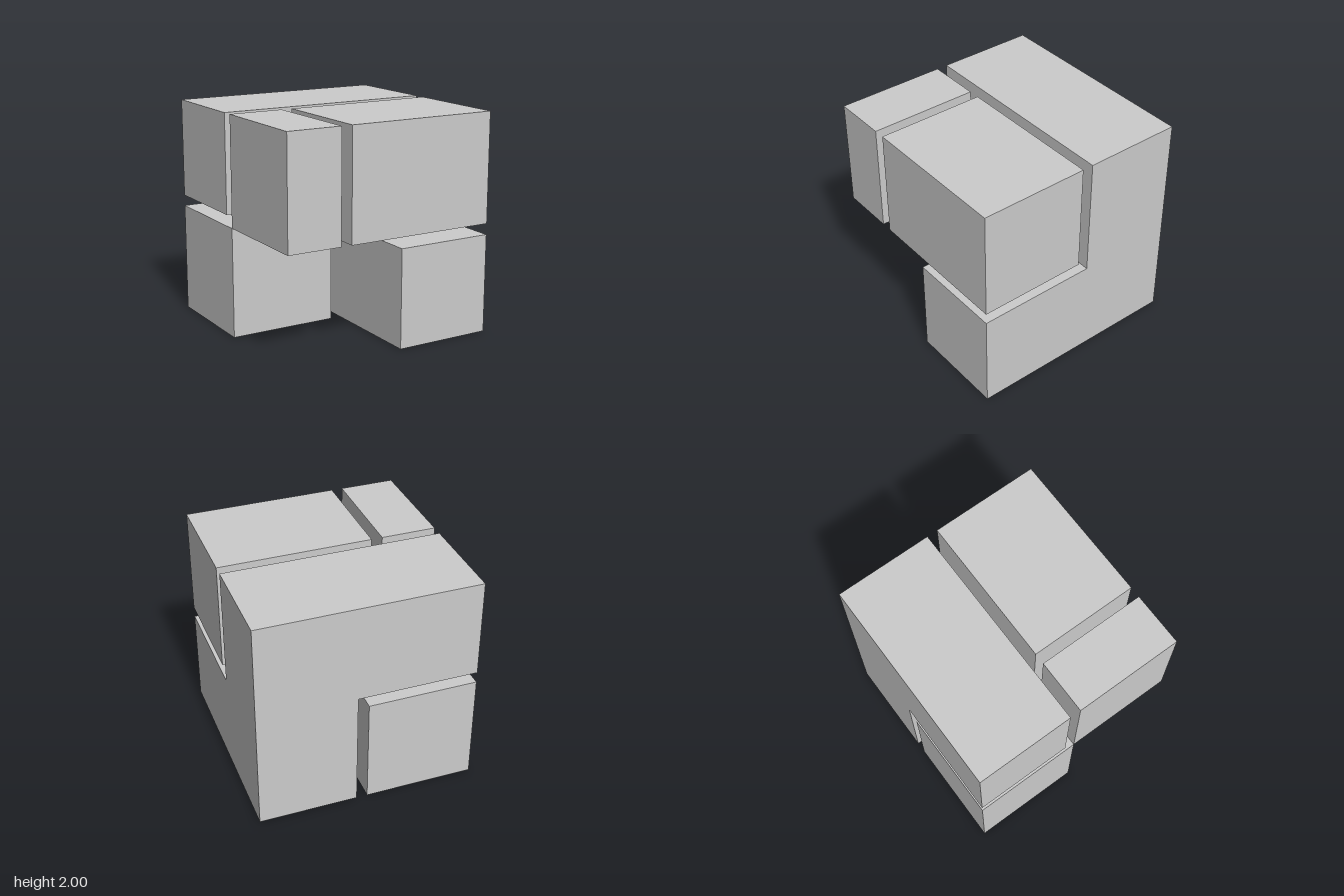
import * as THREE from 'three';
import { mergeVertices } from 'three/addons/utils/BufferGeometryUtils.js';

const material = new THREE.MeshStandardMaterial({ color: 0xcccccc });

// Box spanning two opposite corners
function block(name, min, max) {
  const [w, h, d] = max.map((v, i) => v - min[i]);
  const mesh = new THREE.Mesh(new THREE.BoxGeometry(w, h, d), material);
  mesh.position.set(min[0] + w / 2, min[1] + h / 2, min[2] + d / 2);
  mesh.name = name;
  return mesh;
}

// One closed solid from the filled cells of a grid; only outer faces are made
function cellSolid(grid, filled) {
  const positions = [], normals = [], indices = [];
  const isFilled = (c) => c.every((v, a) => v >= 0 && v < grid[a].length - 1) && filled(...c);

  const addFace = (cell, axis, side) => {
    const u = (axis + 1) % 3, v = (axis + 2) % 3;
    const start = positions.length / 3;
    for (const [du, dv] of [[0, 0], [1, 0], [1, 1], [0, 1]]) {
      const corner = [0, 0, 0], normal = [0, 0, 0];
      corner[axis] = grid[axis][cell[axis] + side];
      corner[u] = grid[u][cell[u] + du];
      corner[v] = grid[v][cell[v] + dv];
      normal[axis] = side ? 1 : -1;
      positions.push(...corner);
      normals.push(...normal);
    }
    const order = side ? [0, 1, 2, 0, 2, 3] : [0, 2, 1, 0, 3, 2];
    indices.push(...order.map((i) => start + i));
  };

  for (let i = 0; i < grid[0].length - 1; i++)
    for (let j = 0; j < grid[1].length - 1; j++)
      for (let k = 0; k < grid[2].length - 1; k++) {
        const cell = [i, j, k];
        if (!isFilled(cell)) continue;
        for (let axis = 0; axis < 3; axis++)
          for (const side of [0, 1]) {
            const next = [...cell];
            next[axis] += side ? 1 : -1;
            if (!isFilled(next)) addFace(cell, axis, side);
          }
      }

  const geometry = new THREE.BufferGeometry();
  geometry.setAttribute('position', new THREE.Float32BufferAttribute(positions, 3));
  geometry.setAttribute('normal', new THREE.Float32BufferAttribute(normals, 3));
  geometry.setIndex(indices);
  return mergeVertices(geometry);
}

export function createModel() {
  const group = new THREE.Group();
  group.name = 'interlockingCube';

  // Three-armed bracket: upright post, foot towards the front, bar along the back
  const grid = [[-1, 0.1, 1], [0, 0.9, 1.1, 2], [-1, -0.1, 1]];
  const inBracket = (i, j, k) => {
    const postOrFoot = i === 1 && (k === 0 || j === 0);
    const backBar = j === 2 && k === 0;
    return postOrFoot || backBar;
  };
  const bracket = new THREE.Mesh(cellSolid(grid, inBracket), material);
  bracket.name = 'bracket';
  group.add(bracket);

  // Loose blocks resting in the gaps
  group.add(
    block('upperFrontBlock', [-0.4, 1, 0], [1, 2, 1]),
    block('upperSideBlock', [-1, 1, 0], [-0.5, 2, 1]),
    block('lowerBackBlock', [-1, 0, -1], [0, 1, 0]),
  );
  return group;
}
